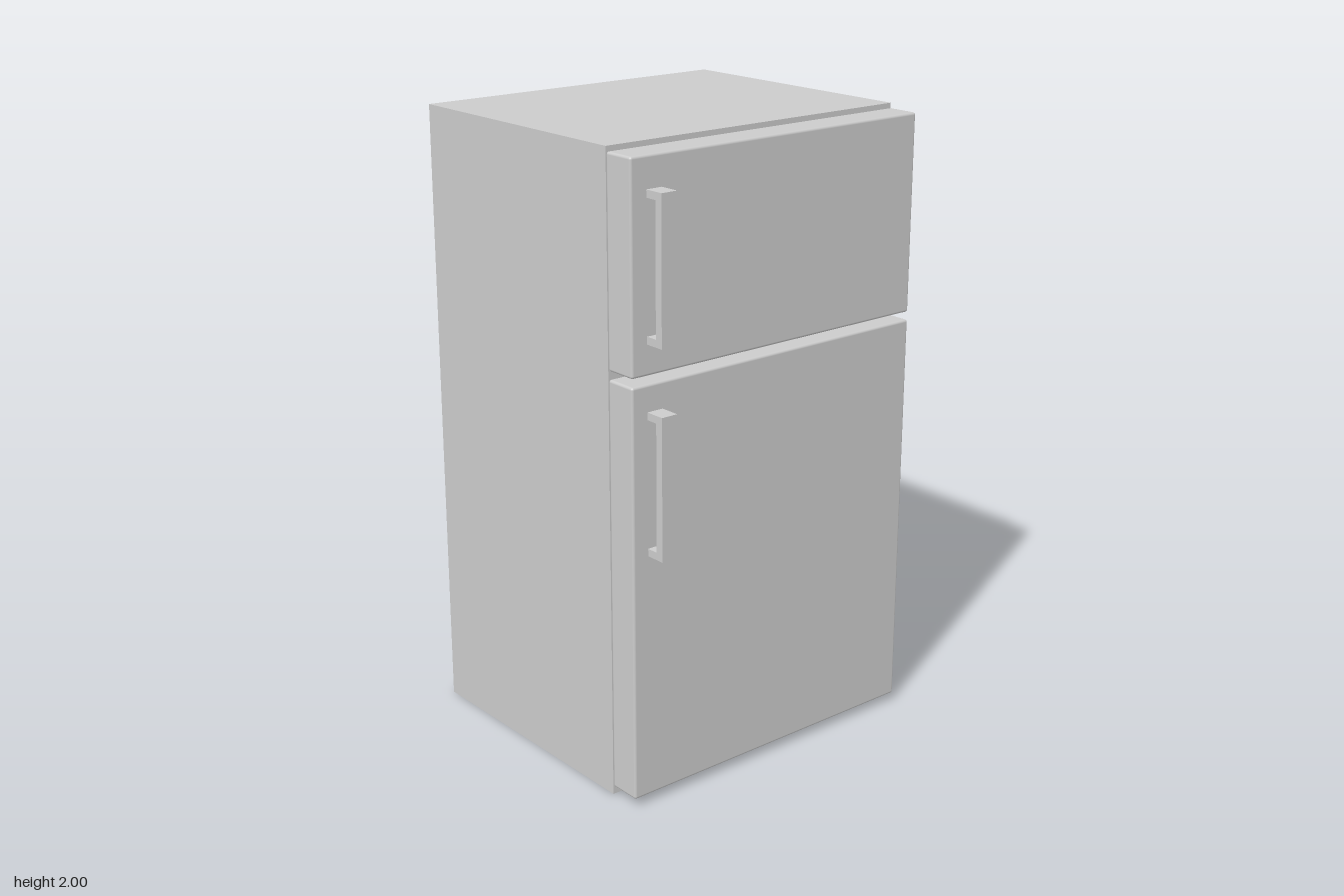
import * as THREE from 'three';
import { RoundedBoxGeometry } from 'three/addons/geometries/RoundedBoxGeometry.js';

const BACK = -0.53, SEAM = 0.355, FRONT = 0.463, GRIP = 0.528; // x positions, back to handle
const HALF = 0.553, WALL = 0.055, RECESS = 0.12;

const material = new THREE.MeshStandardMaterial({ color: 0xcccccc });

function addMesh(parent, name, geometry, x = 0, y = 0, z = 0) {
  const mesh = new THREE.Mesh(geometry, material);
  mesh.name = name;
  mesh.position.set(x, y, z);
  parent.add(mesh);
  return mesh;
}

// Closed outline from [x, y] pairs
const outline = (pts) => new THREE.Shape(pts.map(([x, y]) => new THREE.Vector2(x, y)));
const rect = (w, y0, y1) => outline([[-w, y0], [w, y0], [w, y1], [-w, y1]]);

// Cabinet: rectangular sleeve with a plug that leaves the rear recess open
function createCabinet() {
  const cabinet = new THREE.Group();
  cabinet.name = 'cabinet';
  const shape = rect(HALF, 0, 2);
  shape.holes.push(rect(HALF - WALL, WALL, 2 - WALL));
  const sleeve = new THREE.ExtrudeGeometry(shape, { depth: SEAM - BACK, bevelEnabled: false });
  sleeve.rotateY(Math.PI / 2);
  addMesh(cabinet, 'cabinetShell', sleeve, BACK);
  const depth = SEAM - BACK - RECESS;
  const plug = new THREE.BoxGeometry(depth, 2 - 2 * WALL, 2 * (HALF - WALL));
  addMesh(cabinet, 'recessPanel', plug, SEAM - depth / 2, 1);
  return cabinet;
}

// Door with a C-shaped pull handle on its +z side
function createDoor(name, y0, y1, handle0, handle1) {
  const door = new THREE.Group();
  door.name = name;
  const slab = new RoundedBoxGeometry(FRONT - SEAM, y1 - y0, 2 * HALF, 3, 0.008);
  addMesh(door, name + 'Panel', slab, (SEAM + FRONT) / 2, (y0 + y1) / 2);

  const arm = 0.023, inner = GRIP - 0.026, root = FRONT - 0.004;
  const profile = outline([
    [root, handle0], [GRIP, handle0], [GRIP, handle1], [root, handle1],
    [root, handle1 - arm], [inner, handle1 - arm], [inner, handle0 + arm], [root, handle0 + arm],
  ]);
  const grip = new THREE.ExtrudeGeometry(profile, { depth: 0.055, bevelEnabled: false });
  addMesh(door, name + 'Handle', grip, 0, 0, 0.443);
  return door;
}

// Serpentine condenser pipe: straight runs joined by half-circle bends
function createCoil() {
  const runs = 9, pitch = 0.21, bend = pitch / 2, straight = 0.295, end = 0.495;
  const x = BACK + 0.05, top = 1 + pitch * (runs - 1) / 2;
  const points = [];
  let side = -1; // direction of the current run along z
  for (let i = 0; i < runs; i++, side = -side) {
    const y = top - i * pitch;
    const from = i === 0 ? end : -side * straight;
    const to = i === runs - 1 ? side * end : side * straight;
    points.push(new THREE.Vector3(x, y, from), new THREE.Vector3(x, y, to));
    if (i === runs - 1) break;
    for (let k = 1; k < 16; k++) {
      const a = (k / 16) * Math.PI;
      points.push(new THREE.Vector3(
        x, y - bend + bend * Math.cos(a), side * (straight + bend * Math.sin(a))));
    }
  }
  const path = new THREE.CurvePath();
  for (let i = 1; i < points.length; i++) path.add(new THREE.LineCurve3(points[i - 1], points[i]));

  const coil = new THREE.Group();
  coil.name = 'condenserCoil';
  const radius = 0.045;
  addMesh(coil, 'coilPipe', new THREE.TubeGeometry(path, 900, radius, 20, false));
  // Flat caps close both pipe ends
  [points[0], points[points.length - 1]].forEach((p) => {
    const cap = addMesh(coil, 'pipeEnd', new THREE.CircleGeometry(radius, 20), p.x, p.y, p.z);
    if (p.z < 0) cap.rotation.y = Math.PI;
  });
  return coil;
}

export function createModel() {
  const model = new THREE.Group();
  model.name = 'refrigerator';
  model.add(
    createCabinet(),
    createDoor('freezerDoor', 1.357, 1.985, 1.45, 1.89),
    createDoor('fridgeDoor', 0.027, 1.332, 0.81, 1.25),
    createCoil(),
  );
  return model;
}
